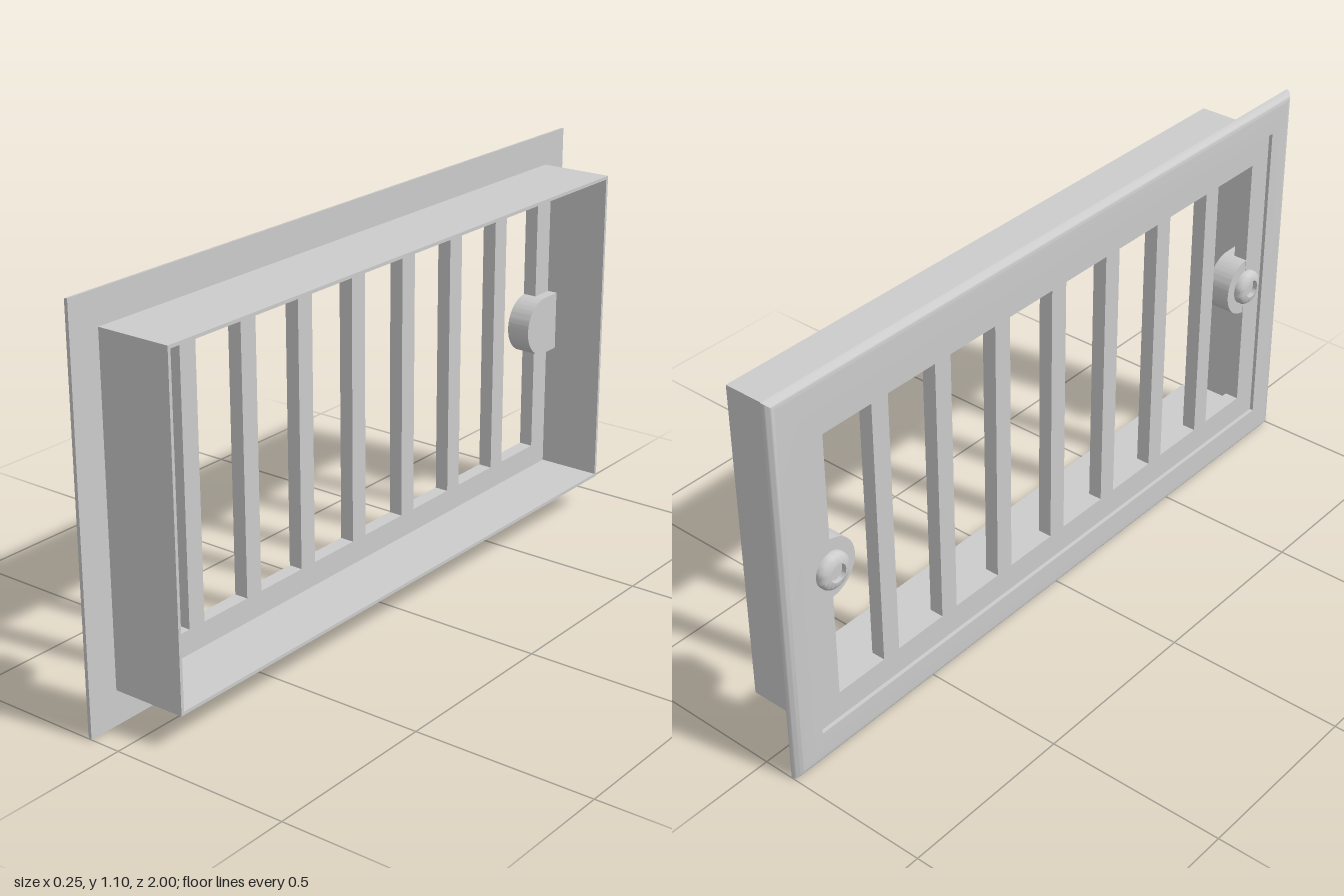
import * as THREE from 'three';
import { toCreasedNormals } from 'three/addons/utils/BufferGeometryUtils.js';

const MID_Y = 0.5525;
const material = new THREE.MeshStandardMaterial({ color: 0xcccccc });

function addMesh(parent, name, geometry) {
  const mesh = new THREE.Mesh(geometry, material);
  mesh.name = name;
  parent.add(mesh);
  return mesh;
}

// Sweeps a closed profile of [x, halfHeight, halfLength] around a mitred rectangle.
function rectangularSweep(profile, centreY) {
  const corners = [[1, 1], [1, -1], [-1, -1], [-1, 1]];
  const at = (i, k) => {
    const [x, h, l] = profile[i % profile.length];
    const [sy, sz] = corners[k % 4];
    return [x, centreY + sy * h, sz * l];
  };
  const positions = [];
  for (let i = 0; i < profile.length; i++) {
    for (let k = 0; k < 4; k++) {
      const a = at(i, k), b = at(i + 1, k), c = at(i + 1, k + 1), d = at(i, k + 1);
      positions.push(...a, ...b, ...c, ...a, ...c, ...d);
    }
  }
  const geometry = new THREE.BufferGeometry();
  geometry.setAttribute('position', new THREE.Float32BufferAttribute(positions, 3));
  return toCreasedNormals(geometry, 0.6);
}

// Extrudes a shape drawn in (-z, y) along x, from x0 to x1.
function extrudeAlongX(shape, x0, x1) {
  const geometry = new THREE.ExtrudeGeometry(shape, { depth: x1 - x0, bevelEnabled: false, curveSegments: 24 });
  geometry.rotateY(Math.PI / 2);
  geometry.translate(x0, 0, 0);
  return toCreasedNormals(geometry, 0.6);
}

function rectanglePath(Type, u0, u1, y0, y1) {
  return new Type([[u0, y0], [u1, y0], [u1, y1], [u0, y1]].map(p => new THREE.Vector2(...p)));
}

export function createModel() {
  const group = new THREE.Group();
  group.name = 'ventGrille';

  // Flange with a rounded outer front edge
  const r = 0.022;
  const flange = [[-0.11, 0.457, 0.909]];
  for (let i = 0; i <= 8; i++) {
    const a = (i / 8) * Math.PI / 2;
    const inset = r * (1 - Math.sin(a));
    flange.push([-0.088 - r * Math.cos(a), 0.55 - inset, 1 - inset]);
  }
  flange.push([-0.087, 0.55, 1], [-0.087, 0.457, 0.909]);
  addMesh(group, 'flange', rectangularSweep(flange, 0.55));

  // Thin-walled sleeve
  addMesh(group, 'sleeve', rectangularSweep([
    [-0.1, 0.458, 0.91], [0.123, 0.458, 0.91], [0.123, 0.449, 0.901], [-0.1, 0.449, 0.901],
  ], MID_Y));

  // Slotted plate: seven bars between eight slots
  const plate = rectanglePath(THREE.Shape, -0.905, 0.905, MID_Y - 0.453, MID_Y + 0.453);
  const pitch = 0.2165, bar = 0.055;
  for (let i = 0; i < 8; i++) {
    const start = i === 0 ? -0.835 : (i - 4) * pitch + bar / 2;
    const end = i === 7 ? 0.835 : (i - 3) * pitch - bar / 2;
    plate.holes.push(rectanglePath(THREE.Path, start, end, 0.17, 0.935));
  }
  addMesh(group, 'slottedPlate', extrudeAlongX(plate, -0.1, -0.06));

  // Screw lugs with domed screw heads at both ends
  for (const side of [1, -1]) {
    const lug = new THREE.Shape();
    lug.moveTo(side * 0.904, MID_Y - 0.085);
    lug.lineTo(side * 0.84, MID_Y - 0.085);
    lug.absarc(side * 0.84, MID_Y, 0.085, -Math.PI / 2 * 1, Math.PI / 2, side > 0);
    lug.lineTo(side * 0.904, MID_Y + 0.085);
    lug.closePath();
    addMesh(group, 'screwLug', extrudeAlongX(lug, -0.099, -0.03));

    const profile = [
      [0.05, 0], [0.05, 0.012], [0.047, 0.018], [0.041, 0.023], [0.034, 0.026],
      [0.025, 0.027], [0.025, 0.014], [0, 0.014],
    ].map(p => new THREE.Vector2(...p));
    const head = addMesh(group, 'screwHead',
      toCreasedNormals(new THREE.LatheGeometry(profile, 32), 0.6));
    head.rotation.z = Math.PI / 2;
    head.position.set(-0.098, MID_Y, -side * 0.836);
  }
  return group;
}
